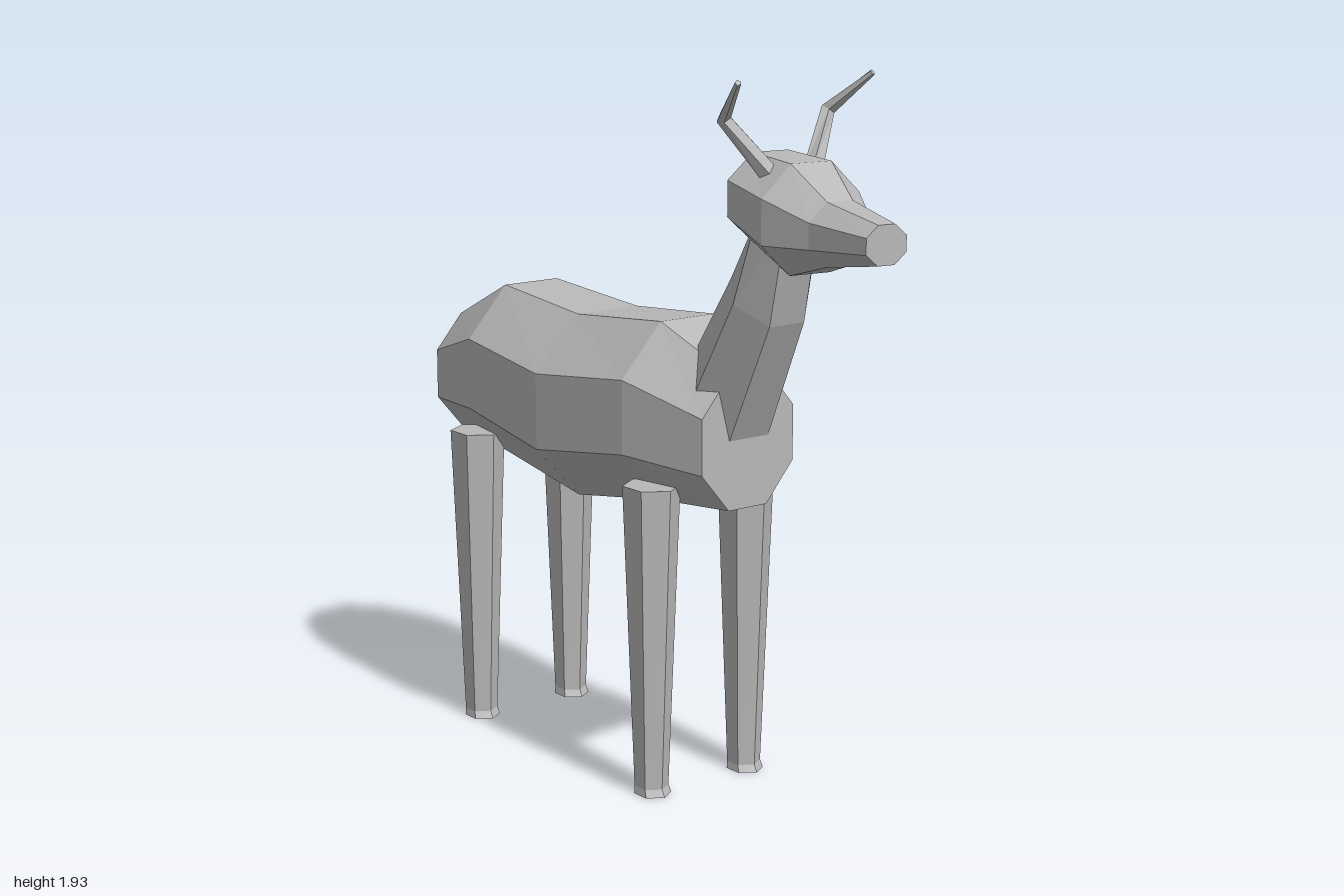
import * as THREE from 'three';

const grey = new THREE.MeshStandardMaterial({ color: 0xb8b8b8, flatShading: true });
grey.name = 'plain grey';

const V = (x, y, z) => new THREE.Vector3(x, y, z);

// Skin a row of polygon rings { c, u, v } (centre and two half axes) and cap both ends
function loft(name, rings, sides, phase = 0) {
  const pos = [];
  const loops = rings.map(({ c, u, v }) => {
    const loop = [];
    for (let i = 0; i < sides; i++) {
      const a = phase + (i / sides) * Math.PI * 2;
      loop.push(c.clone().addScaledVector(u, Math.cos(a)).addScaledVector(v, Math.sin(a)));
    }
    return loop;
  });
  const tri = (...pts) => pts.forEach((p) => pos.push(p.x, p.y, p.z));
  for (let r = 0; r < loops.length - 1; r++) {
    for (let i = 0; i < sides; i++) {
      const j = (i + 1) % sides, a = loops[r], b = loops[r + 1];
      tri(a[i], a[j], b[j]);
      tri(a[i], b[j], b[i]);
    }
  }
  const first = loops[0], last = loops[loops.length - 1];
  for (let i = 1; i < sides - 1; i++) {
    tri(first[0], first[i + 1], first[i]);
    tri(last[0], last[i], last[i + 1]);
  }
  const geo = new THREE.BufferGeometry();
  geo.setAttribute('position', new THREE.Float32BufferAttribute(pos, 3));
  geo.computeVertexNormals();
  const mesh = new THREE.Mesh(geo, grey);
  mesh.name = name;
  return mesh;
}

// Tapered limb along a bent path; each entry is [x, y, z, radius]
function taper(name, path, sides) {
  const pts = path.map((p) => V(p[0], p[1], p[2]));
  const rings = pts.map((c, i) => {
    const w = pts[Math.min(i + 1, pts.length - 1)].clone().sub(pts[Math.max(i - 1, 0)]).normalize();
    const v = w.clone().cross(V(1, 0, 0)).normalize();
    const u = v.clone().cross(w);
    return { c, u: u.multiplyScalar(path[i][3]), v: v.multiplyScalar(path[i][3]) };
  });
  return loft(name, rings, sides, Math.PI / 2);
}

// Octagon with flat top and sides, given as half width and half height
const OCT = 1 / Math.cos(Math.PI / 8);
const octagon = (c, yaw, w, h) => ({
  c,
  u: V(Math.cos(yaw), 0, -Math.sin(yaw)).multiplyScalar(w * OCT),
  v: V(0, h * OCT, 0),
});

export function createModel() {
  const model = new THREE.Group();
  model.name = 'deer';

  // Body, rump to chest: z, centre height, half width, half height
  const body = [
    [-0.87, 0.963, 0.143, 0.167],
    [-0.6, 1.015, 0.212, 0.238],
    [-0.24, 0.975, 0.24, 0.25],
    [0.11, 1.018, 0.215, 0.238],
    [0.36, 0.975, 0.15, 0.178],
  ];
  model.add(loft('body', body.map(([z, y, w, h]) => octagon(V(0.01, y, z), 0, w, h)), 8, Math.PI / 8));

  // Neck, a hexagon tube: centre x, half width, front z/y, back z/y
  const neck = [
    [0.013, 0.128, 0.36, 0.98, 0.2, 1.165],
    [0, 0.112, 0.52, 1.3, 0.37, 1.405],
    [-0.02, 0.105, 0.6, 1.58, 0.49, 1.57],
  ];
  model.add(loft('neck', neck.map(([x, w, fz, fy, bz, by]) => ({
    c: V(x, (fy + by) / 2, (fz + bz) / 2),
    u: V(w, 0, 0),
    v: V(0, by - fy, bz - fz).multiplyScalar(0.5 / Math.cos(Math.PI / 6)),
  })), 6));

  // Head, turned slightly to its right: x, y, z, half width, half height
  const head = [
    [-0.02, 1.62, 0.474, 0.122, 0.11],
    [-0.038, 1.585, 0.648, 0.139, 0.136],
    [-0.065, 1.567, 0.785, 0.087, 0.078],
    [-0.095, 1.568, 0.983, 0.056, 0.048],
  ];
  model.add(loft('head', head.map(([x, y, z, w, h]) => octagon(V(x, y, z), -0.147, w, h)), 8, Math.PI / 8));

  // Horns, mirrored about the middle of the head
  for (const s of [-1, 1]) {
    const x = (d) => -0.033 + s * d;
    model.add(taper(s > 0 ? 'leftHorn' : 'rightHorn', [
      [x(0.06), 1.675, 0.575, 0.026],
      [x(0.165), 1.825, 0.511, 0.019],
      [x(0.212), 1.922, 0.622, 0.008],
    ], 5));
  }

  // Legs, hexagonal with a slightly flared hoof: height, z offset, half width, half depth
  const leg = [
    [0, 0.005, 0.042, 0.052],
    [0.02, 0, 0.039, 0.046],
    [0.84, 0, 0.064, 0.081],
  ];
  for (const [end, z] of [['front', 0.16], ['back', -0.645]]) {
    for (const [side, x] of [['Left', 0.168], ['Right', -0.148]]) {
      model.add(loft(end + side + 'Leg', leg.map(([y, dz, w, d]) => ({
        c: V(x, y, z + dz),
        u: V(w / Math.cos(Math.PI / 6), 0, 0),
        v: V(0, 0, -d),
      })), 6, Math.PI / 6));
    }
  }

  // Tail
  model.add(taper('tail', [
    [0.01, 1.085, -0.85, 0.047],
    [0.005, 1.0, -0.925, 0.038],
    [-0.012, 0.888, -0.99, 0.012],
  ], 5));

  return model;
}
